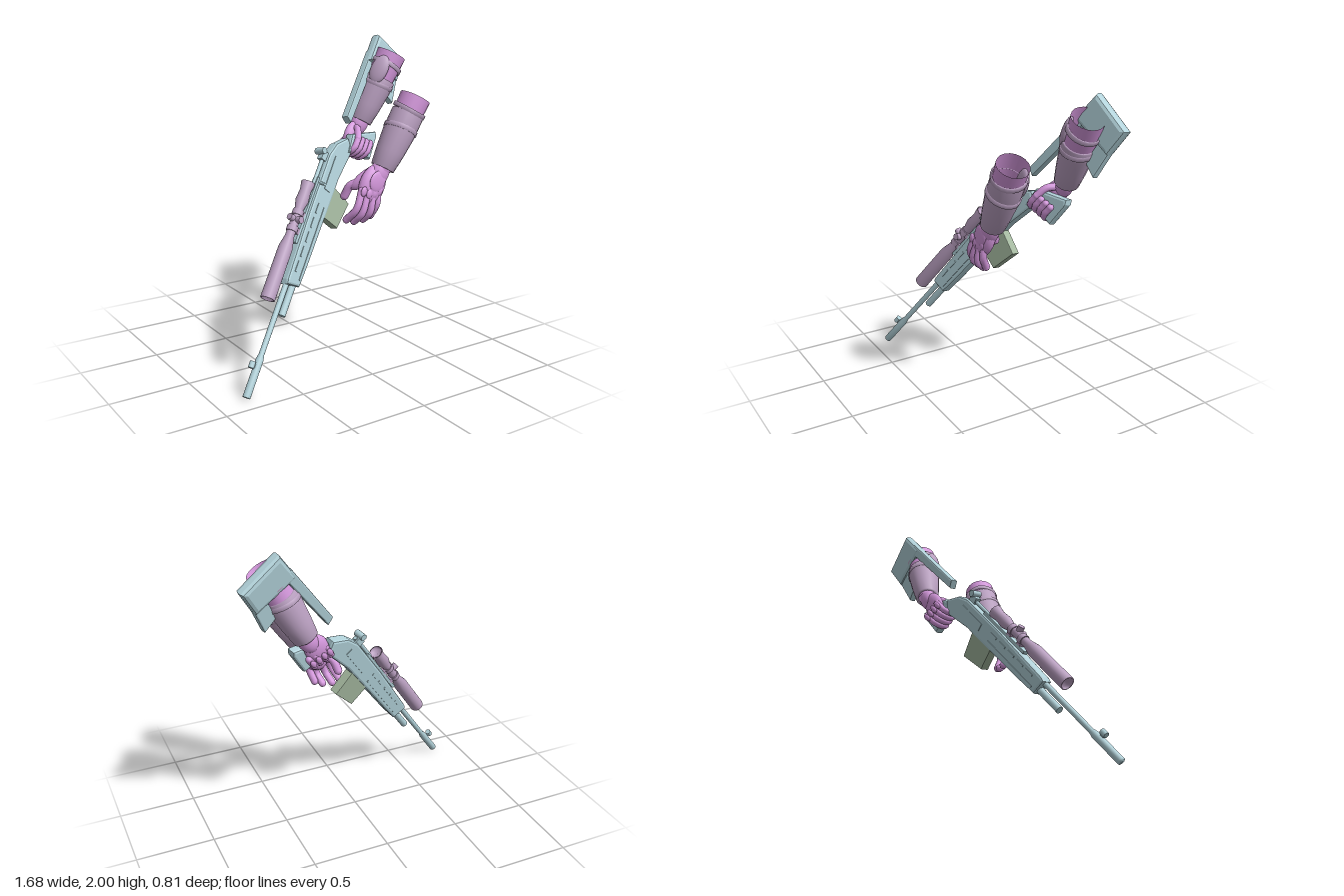
import * as THREE from 'three';

const mat = (name, color) => {
  const m = new THREE.MeshStandardMaterial({ color, side: THREE.DoubleSide });
  m.name = name;
  return m;
};
const V = (p) => new THREE.Vector3(...p);

export function createModel() {
  const metal = mat('pale blue metal', 0xb2d2da);
  const mauve = mat('mauve cloth', 0xbba1c2);
  const pink = mat('pink glove', 0xd699de);
  const green = mat('sage green', 0xa4b89f);
  const model = new THREE.Group();

  const add = (parent, name, geo, material) => {
    const m = new THREE.Mesh(geo, material);
    m.name = name;
    parent.add(m);
    return m;
  };
  // Turned shape between two points; profile is [distance fraction, radius]
  const turned = (parent, name, p, q, profile, material, sides = 20) => {
    const a = V(p), d = V(q).sub(a), len = d.length();
    const geo = new THREE.LatheGeometry(profile.map(([t, r]) => new THREE.Vector2(r, t * len)), sides);
    const m = add(parent, name, geo, material);
    m.position.copy(a);
    m.quaternion.setFromUnitVectors(new THREE.Vector3(0, 1, 0), d.normalize());
    return m;
  };
  // Solid rod
  const rod = (parent, name, p, q, r, material) =>
    turned(parent, name, p, q, [[0, 0], [0, r], [0, r], [1, r], [1, r], [1, 0]], material, 14);
  // Flat part: side outline extruded across the width, centred on w
  const slab = (parent, name, pts, width, material, bevel = 0.01, w = 0) => {
    const geo = new THREE.ExtrudeGeometry(new THREE.Shape(pts.map((p) => new THREE.Vector2(...p))), {
      depth: width - 2 * bevel, bevelEnabled: true, bevelSize: bevel, bevelOffset: -bevel,
      bevelThickness: bevel, bevelSegments: 2,
    });
    geo.translate(0, 0, w - width / 2 + bevel);
    return add(parent, name, geo, material);
  };
  const box = (parent, name, c, s, material) => {
    const m = add(parent, name, new THREE.BoxGeometry(...s), material);
    m.position.set(...c);
    return m;
  };
  // Ellipsoid stretched from p to q, flattened along a normal
  const blob = (parent, name, p, q, width, thick, normal, material) => {
    const a = V(p), b = V(q), y = b.clone().sub(a), half = y.length() / 2;
    y.normalize();
    const x = y.clone().cross(V(normal)).normalize(), z = x.clone().cross(y);
    const m = add(parent, name, new THREE.SphereGeometry(1, 18, 12), material);
    m.position.copy(a.add(b).multiplyScalar(0.5));
    m.quaternion.setFromRotationMatrix(new THREE.Matrix4().makeBasis(x, y, z));
    m.scale.set(width, half, thick);
    return m;
  };
  const finger = (parent, name, pts, r, material) => {
    const curve = new THREE.CatmullRomCurve3(pts.map(V));
    add(parent, name, new THREE.TubeGeometry(curve, 10, r, 10), material);
    for (const p of [pts[0], pts[pts.length - 1]])
      add(parent, name + 'End', new THREE.SphereGeometry(r, 10, 8), material).position.set(...p);
  };

  // Rifle: local x runs muzzle to butt, y is its top, z its side
  const gun = new THREE.Group();
  gun.name = 'rifle';
  const u = V([0.5626, 0.7676, -0.307]).normalize();
  const n = u.clone().cross(V([-0.783, 0.614, 0.1])).normalize();
  gun.quaternion.setFromRotationMatrix(new THREE.Matrix4().makeBasis(u, n.clone().cross(u), n));
  gun.position.set(-0.816, 0.025, 0.385);
  model.add(gun);

  turned(gun, 'barrel', [0, 0, 0], [0.8, 0, 0],
    [[0, 0], [0, 0.024], [0.29, 0.024], [0.33, 0.017], [1, 0.018]], metal);
  rod(gun, 'gasTube', [0.53, -0.052, 0], [0.8, -0.052, 0], 0.023, metal);
  box(gun, 'frontSightPost', [0.185, 0.03, 0], [0.025, 0.03, 0.014], metal);
  rod(gun, 'frontSightHood', [0.165, 0.045, 0], [0.205, 0.045, 0], 0.018, metal);
  slab(gun, 'receiver', [[0.71, 0.02], [0.735, -0.085], [0.87, -0.092], [1.25, -0.1], [1.5, -0.105],
    [1.74, -0.14], [1.79, -0.065], [1.7, 0.015], [1.6, 0.045], [1.2, 0.045], [0.74, 0.03]], 0.075, metal, 0.015);
  // Raised ribs along both sides
  for (const s of [-1, 1]) {
    for (let i = 0; i < 5; i++) box(gun, 'handguardRib', [0.84 + i * 0.1, -0.005, s * 0.038], [0.07, 0.012, 0.008], metal);
    box(gun, 'sideRail', [1.02, -0.06, s * 0.038], [0.5, 0.01, 0.008], metal);
    box(gun, 'sidePlate', [1.5, -0.03, s * 0.038], [0.24, 0.05, 0.008], metal);
  }
  box(gun, 'topRail', [1.2, 0.052, 0], [0.46, 0.02, 0.04], metal);
  rod(gun, 'boltRod', [1.38, 0.06, 0], [1.62, 0.06, 0], 0.013, metal);
  rod(gun, 'boltHandle', [1.4, 0.035, 0.03], [1.38, 0.045, 0.085], 0.01, metal);
  box(gun, 'rearSightBase', [1.58, 0.062, 0], [0.06, 0.05, 0.04], metal);
  rod(gun, 'rearSightKnob', [1.6, 0.095, -0.035], [1.6, 0.095, 0.035], 0.022, metal);
  slab(gun, 'magazine', [[1.22, -0.08], [1.44, -0.08], [1.41, -0.265], [1.215, -0.235]], 0.06, green, 0.004);
  slab(gun, 'grip', [[1.7, -0.1], [1.83, -0.08], [1.9, -0.18], [1.97, -0.28], [1.94, -0.3], [1.77, -0.31], [1.75, -0.2]],
    0.065, metal, 0.015, 0.015);

  // Open stock, offset to one side
  slab(gun, 'stockCheekBar', [[1.87, -0.015], [1.888, 0.038], [2.42, 0.026], [2.42, -0.04]], 0.055, metal, 0.01, 0.04);
  slab(gun, 'stockLowerBar', [[2.215, -0.315], [2.4, -0.28], [2.42, -0.18], [2.23, -0.21]], 0.05, metal, 0.01, 0.05);
  slab(gun, 'buttPad', [[2.34, 0.026], [2.548, 0.024], [2.552, -0.27], [2.37, -0.285]], 0.08, metal, 0.025, 0.05);

  // Scope
  turned(gun, 'scope', [0.575, 0.102, 0], [1.36, 0.106, 0], [[0.03, 0], [0.03, 0.036], [0, 0.038], [0, 0.046],
    [0.43, 0.045], [0.53, 0.029], [0.77, 0.029], [0.84, 0.042], [0.93, 0.036], [1, 0.045], [1, 0.037], [0.97, 0.034], [0.97, 0]], mauve);
  rod(gun, 'scopeTopKnob', [1.1, 0.12, 0], [1.1, 0.16, 0], 0.022, mauve);
  rod(gun, 'scopeSideKnob', [1.1, 0.105, 0.02], [1.1, 0.105, 0.055], 0.022, mauve);
  for (const a of [1.04, 1.15]) {
    rod(gun, 'scopeRing', [a - 0.018, 0.104, 0], [a + 0.018, 0.104, 0], 0.036, mauve);
    box(gun, 'scopeFoot', [a, 0.07, 0], [0.036, 0.03, 0.04], mauve);
  }

  // Sleeved forearm with a guard ending at a given fraction, straps and an elbow pad
  const forearm = (name, wrist, elbow, padNormal, guardEnd) => {
    const g = new THREE.Group();
    g.name = name;
    model.add(g);
    turned(g, 'sleeve', wrist, elbow, [[0, 0.055], [0.2, 0.068], [0.6, 0.092], [1, 0.1]], pink);
    turned(g, 'forearmGuard', wrist, elbow, [[0.03, 0.06], [0.03, 0.077], [0.25, 0.092], [0.5, 0.104],
      [guardEnd, 0.105], [guardEnd, 0.092]], mauve);
    const at = (t) => V(wrist).lerp(V(elbow), t);
    const d = V(elbow).sub(V(wrist)).normalize();
    const out = V(padNormal).addScaledVector(d, -V(padNormal).dot(d)).normalize();
    for (const [t, tilt] of [[0.56, 0.12], [0.82, -0.14]]) {
      const axis = d.clone().addScaledVector(out, tilt).normalize();
      const c = at(t);
      turned(g, 'strap', c.clone().addScaledVector(axis, -0.014).toArray(), c.clone().addScaledVector(axis, 0.014).toArray(),
        [[0, 0.1], [0, 0.11], [1, 0.11], [1, 0.1]], mauve);
    }
    const off = out.clone().multiplyScalar(0.095);
    blob(g, 'elbowPad', at(0.52).add(off).toArray(), at(0.92).add(off).toArray(), 0.06, 0.028, out.toArray(), mauve);
    return g;
  };

  // Left arm, hand open beside the magazine
  const left = forearm('leftArm', [0.295, 1.2, 0.165], [0.545, 1.645, 0.178], [0.2, 0, -1], 0.78);
  blob(left, 'wrist', [0.33, 1.28, 0.165], [0.22, 1.08, 0.165], 0.068, 0.055, [0, 0, 1], pink);
  blob(left, 'palm', [0.285, 1.235, 0.16], [0.155, 0.99, 0.18], 0.092, 0.05, [-0.1, 0, 1], pink);
  blob(left, 'thumbBase', [0.28, 1.22, 0.15], [0.125, 1.08, 0.075], 0.045, 0.035, [0, 0, 1], pink);
  const leftFingers = [
    [[0.13, 1.09, 0.185], [0.085, 0.98, 0.195], [0.05, 0.905, 0.135]],
    [[0.17, 1.07, 0.19], [0.125, 0.95, 0.2], [0.1, 0.89, 0.145]],
    [[0.21, 1.07, 0.19], [0.185, 0.95, 0.2], [0.165, 0.895, 0.15]],
    [[0.25, 1.08, 0.18], [0.24, 1.0, 0.195], [0.215, 0.915, 0.16]],
  ];
  for (const pts of leftFingers) {
    finger(left, 'leftFinger', pts, 0.024, pink);
    blob(left, 'knucklePad', [pts[0][0] + 0.012, pts[0][1] + 0.03, 0.208], [pts[0][0] - 0.01, pts[0][1] - 0.03, 0.212],
      0.022, 0.012, [0, 0, 1], pink);
  }
  finger(left, 'leftThumb', [[0.18, 1.13, 0.11], [0.13, 1.1, 0.06], [0.105, 1.03, 0.03]], 0.027, pink);
  blob(left, 'handGuardPlate', [0.27, 1.2, 0.205], [0.2, 1.08, 0.215], 0.06, 0.014, [0, 0, 1], pink);

  // Right arm, hand wrapped round the grip
  const right = forearm('rightArm', [0.425, 1.435, -0.268], [0.663, 1.885, -0.235], [-0.8, 0.2, 0.6], 0.64);
  blob(right, 'wrist', [0.47, 1.52, -0.262], [0.38, 1.35, -0.262], 0.062, 0.052, [0, 0, 1], pink);
  const hand = new THREE.Group();
  hand.name = 'rightHand';
  gun.add(hand);
  blob(hand, 'palm', [1.98, -0.16, -0.03], [1.77, -0.17, -0.045], 0.078, 0.04, [0, 0, 1], pink);
  for (let i = 0; i < 4; i++) {
    const b = -0.125 - i * 0.04, a = 1.74 + i * 0.012;
    finger(hand, 'rightFinger', [[a + 0.1, b, -0.055], [a + 0.01, b, -0.05], [a - 0.025, b, 0],
      [a + 0.01, b, 0.055], [a + 0.08, b, 0.06]], 0.021, pink);
    blob(hand, 'knucklePad', [a + 0.03, b, -0.075], [a + 0.1, b, -0.08], 0.018, 0.012, [0, 0, 1], pink);
  }
  finger(hand, 'rightThumb', [[1.93, -0.15, -0.02], [1.89, -0.125, 0.03], [1.82, -0.125, 0.06]], 0.023, pink);

  return model;
}
